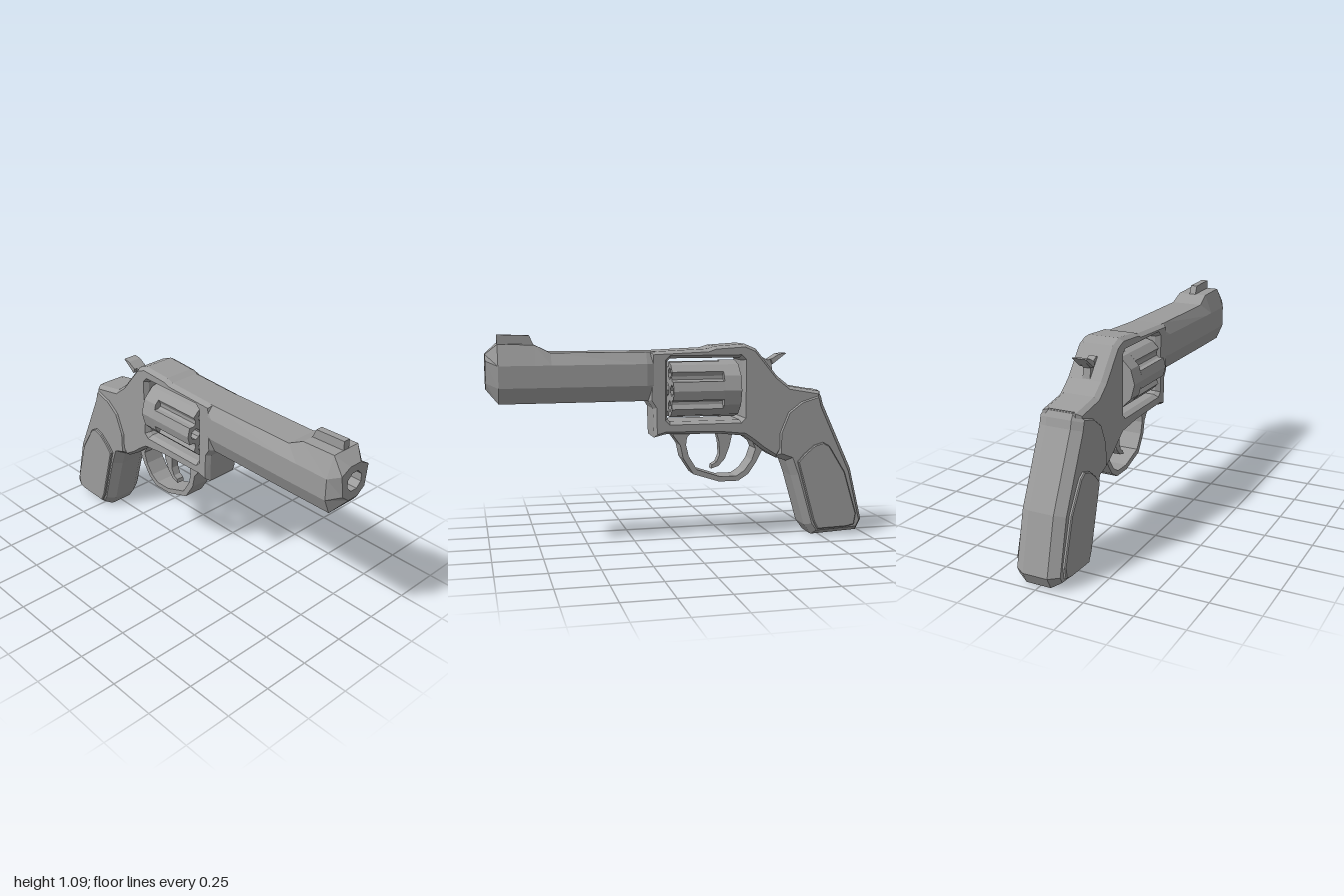
import * as THREE from 'three';

export function createModel() {
  const group = new THREE.Group();
  const grey = new THREE.MeshStandardMaterial({ color: 0x9c9c9c, flatShading: true });
  grey.name = 'grey';

  const add = (name, geometry) => {
    const mesh = new THREE.Mesh(geometry, grey);
    mesh.name = name;
    group.add(mesh);
    return mesh;
  };
  const vectors = pts => pts.map(([x, y]) => new THREE.Vector2(x, y));

  // Side outline extruded symmetrically about z = 0, with an inward chamfer
  const plate = (name, pts, half, bevel = 0, thick = bevel, hole = null) => {
    const shape = new THREE.Shape(vectors(pts));
    if (hole) shape.holes.push(new THREE.Path(vectors(hole)));
    const geo = new THREE.ExtrudeGeometry(shape, {
      depth: 2 * (half - thick), bevelEnabled: bevel > 0, bevelSegments: 1,
      bevelSize: bevel, bevelThickness: thick, bevelOffset: -bevel,
    });
    geo.translate(0, 0, thick - half);
    return add(name, geo);
  };

  // Skin over mirrored cross-sections: [x, [[z, y], ...half from top to bottom]]
  const loft = (name, sections) => {
    const rings = sections.map(([x, half]) => [
      ...half.map(([z, y]) => [x, y, z]),
      ...[...half].reverse().map(([z, y]) => [x, y, -z]),
    ]);
    const pos = [];
    for (let i = 0; i < rings.length - 1; i++) {
      const n = rings[i].length;
      for (let j = 0; j < n; j++) {
        const k = (j + 1) % n;
        const [a, b, c, d] = [rings[i][j], rings[i][k], rings[i + 1][k], rings[i + 1][j]];
        pos.push(...a, ...b, ...c, ...a, ...c, ...d);
      }
    }
    const geo = new THREE.BufferGeometry();
    geo.setAttribute('position', new THREE.Float32BufferAttribute(pos, 3));
    geo.computeVertexNormals();
    return add(name, geo);
  };

  // Frame with the cylinder window
  plate('frame', [
    [0.18, 1.0], [0.19, 0.75], [0.165, 0.71], [0.16, 0.56], [0.1, 0.575], [-0.18, 0.57],
    [-0.32, 0.555], [-0.37, 0.52], [-0.42, 0.48], [-0.5, 0.43], [-0.54, 0.5], [-0.62, 0.6],
    [-0.74, 0.75], [-0.74, 0.78], [-0.57, 0.81], [-0.5, 0.865], [-0.43, 0.95],
    [-0.38, 1.01], [-0.32, 1.035], [-0.16, 1.025], [-0.12, 1.012],
  ], 0.105, 0.015, 0.025, [
    [-0.31, 0.655], [-0.295, 0.64], [0.075, 0.64], [0.09, 0.655],
    [0.09, 0.95], [0.075, 0.965], [-0.295, 0.965], [-0.31, 0.95],
  ]);

  // Barrel with raised rib, chamfered muzzle and hollow bore
  const section = (top, w, topW = 0.085) =>
    [[topW, top], [w, 0.94], [w, 0.83], [w * 0.72, 0.75]];
  const bore = [[0.019, 0.956], [0.046, 0.929], [0.046, 0.891], [0.019, 0.864]];
  loft('barrel', [
    [0.11, section(1.0, 0.09, 0.08)],
    [0.2, section(1.0, 0.115)],
    [0.68, section(1.0, 0.12)],
    [0.76, section(1.04, 0.12, 0.08)],
    [0.94, section(1.045, 0.12, 0.08)],
    [1.0, [[0.035, 0.995], [0.09, 0.965], [0.075, 0.855], [0.03, 0.82]]],
    [1.0, bore],
    [0.9, bore],
    [0.9, bore.map(() => [0, 0.91])],
  ]);

  plate('frontSight', [[0.755, 1.03], [0.78, 1.085], [0.94, 1.09], [0.94, 1.03]], 0.018);

  // Fluted cylinder: ridges every 60 degrees, scooped between, a chamber in each ridge
  const fluted = new THREE.Shape();
  const outline = [];
  for (let k = 0; k < 6; k++) {
    const steps = [[-19, 0.146], [0, 0.15], [19, 0.146], [23, 0.122], [30, 0.113], [37, 0.122]];
    for (const [deg, r] of steps) {
      const a = THREE.MathUtils.degToRad(k * 60 + deg);
      outline.push(new THREE.Vector2(r * Math.cos(a), r * Math.sin(a)));
    }
    const c = k * Math.PI / 3;
    const chamber = new THREE.Path();
    chamber.absarc(0.098 * Math.cos(c), 0.098 * Math.sin(c), 0.03, 0, Math.PI * 2, true);
    fluted.holes.push(chamber);
  }
  fluted.setFromPoints(outline);
  const drum = new THREE.ExtrudeGeometry(fluted, { depth: 0.27, bevelEnabled: false, curveSegments: 4 });
  drum.rotateY(Math.PI / 2).translate(-0.2, 0.8, 0);
  add('flutedCylinder', drum);

  const alongX = (name, r, x0, x1, sides) => {
    const geo = new THREE.CylinderGeometry(r, r, x1 - x0, sides);
    geo.rotateZ(-Math.PI / 2).translate((x0 + x1) / 2, 0.8, 0);
    return add(name, geo);
  };
  // A vertex of the rear ring points sideways, in line with the ridges
  alongX('cylinderRear', 0.15, -0.29, -0.2, 12);
  alongX('cylinderPin', 0.035, -0.32, 0.1, 8);

  // Grip body and its raised side panels
  plate('grip', [
    [-0.735, 0.785], [-0.755, 0.75], [-0.765, 0.71], [-0.93, 0.355], [-1.0, 0.07],
    [-0.97, 0.012], [-0.71, 0], [-0.67, 0.055], [-0.59, 0.33], [-0.56, 0.41],
    [-0.49, 0.435], [-0.49, 0.57], [-0.54, 0.69], [-0.62, 0.75],
  ], 0.115, 0.03, 0.05);
  plate('gripPanels', [
    [-0.75, 0.51], [-0.785, 0.49], [-0.875, 0.345], [-0.945, 0.115], [-0.935, 0.055],
    [-0.89, 0.045], [-0.725, 0.04], [-0.7, 0.09], [-0.61, 0.41], [-0.645, 0.45], [-0.7, 0.495],
  ], 0.13, 0.005);

  // Trigger guard band: outer edge, then back along the inner edge
  plate('triggerGuard', [
    [-0.45, 0.5], [-0.43, 0.47], [-0.4, 0.41], [-0.355, 0.345], [-0.3, 0.31], [-0.195, 0.31],
    [-0.055, 0.355], [0, 0.44], [0.015, 0.51], [0.055, 0.565], [0.05, 0.585], [-0.05, 0.585],
    [-0.02, 0.55], [-0.015, 0.51], [-0.03, 0.45], [-0.075, 0.378], [-0.2, 0.336],
    [-0.29, 0.336], [-0.335, 0.365], [-0.375, 0.42], [-0.395, 0.48], [-0.37, 0.53],
  ], 0.057);

  plate('trigger', [
    [-0.28, 0.58], [-0.26, 0.49], [-0.235, 0.425], [-0.2, 0.387], [-0.16, 0.375],
    [-0.165, 0.395], [-0.19, 0.41], [-0.207, 0.45], [-0.202, 0.52], [-0.185, 0.58],
  ], 0.022);

  // Hammer body and its wider thumb spur
  plate('hammer', [
    [-0.53, 0.975], [-0.47, 0.945], [-0.43, 0.965], [-0.38, 0.93], [-0.42, 0.84],
    [-0.5, 0.85], [-0.49, 0.92], [-0.53, 0.955],
  ], 0.02);
  plate('hammerSpur', [
    [-0.565, 0.982], [-0.525, 0.977], [-0.48, 0.95], [-0.49, 0.925], [-0.53, 0.955],
  ], 0.038);

  return group;
}
